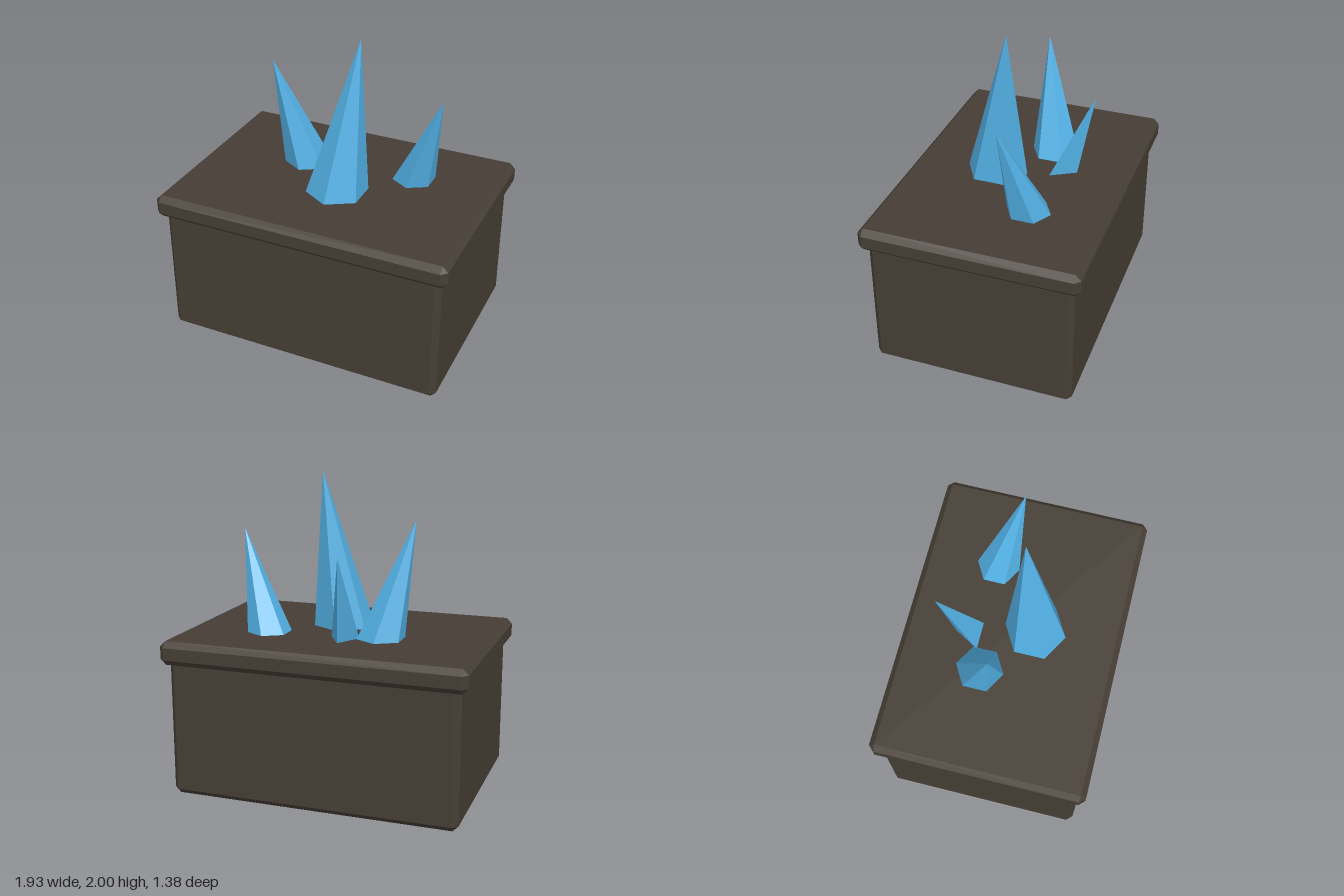
import * as THREE from 'three';
import { ConvexGeometry } from 'three/addons/geometries/ConvexGeometry.js';

const stone = new THREE.MeshStandardMaterial({ color: 0x463e35 });
stone.name = 'darkStone';
const crystal = new THREE.MeshStandardMaterial({ color: 0x52b0e4 });
crystal.name = 'blueCrystal';

// Box with every edge cut at 45 degrees, spanning y0 to y1
function chamferedBox(name, halfX, halfZ, y0, y1, cut) {
  const halfY = (y1 - y0) / 2;
  const points = [];
  for (const sx of [-1, 1]) for (const sy of [-1, 1]) for (const sz of [-1, 1]) {
    for (let face = 0; face < 3; face++) {
      points.push(new THREE.Vector3(
        sx * (halfX - (face === 0 ? 0 : cut)),
        sy * (halfY - (face === 1 ? 0 : cut)),
        sz * (halfZ - (face === 2 ? 0 : cut))
      ));
    }
  }
  const mesh = new THREE.Mesh(new ConvexGeometry(points), stone);
  mesh.position.y = (y0 + y1) / 2;
  mesh.name = name;
  return mesh;
}

// Faceted cone sheared so its point leans over to the tip position
function spike(name, [cx, cz], radius, sides, [tx, ty, tz], turn = 0) {
  const baseY = 1;
  const height = ty - baseY;
  let geometry = new THREE.ConeGeometry(radius, height, sides, 1, false, turn);
  geometry.translate(0, height / 2, 0);
  const p = geometry.attributes.position;
  for (let i = 0; i < p.count; i++) {
    const t = p.getY(i) / height;
    p.setX(i, p.getX(i) + (tx - cx) * t);
    p.setZ(i, p.getZ(i) + (tz - cz) * t);
  }
  geometry = geometry.toNonIndexed();
  geometry.computeVertexNormals();
  const mesh = new THREE.Mesh(geometry, crystal);
  mesh.position.set(cx, baseY, cz);
  mesh.name = name;
  return mesh;
}

export function createModel() {
  const model = new THREE.Group();
  model.name = 'crystalPedestal';
  model.add(
    chamferedBox('pedestalBody', 0.92, 0.645, 0, 0.92, 0.036),
    chamferedBox('pedestalLid', 0.965, 0.69, 0.85, 1, 0.036),
    spike('tallSpike', [0.04, 0.137], 0.198, 6, [0.15, 2, 0.035]),
    spike('rightSpike', [-0.295, -0.145], 0.155, 6, [-0.48, 1.73, -0.03]),
    spike('leftSpike', [0.425, -0.205], 0.14, 6, [0.64, 1.635, -0.08]),
    // Small three-sided shard with one corner to the back
    spike('backSpike', [-0.08, -0.25], 0.105, 3, [-0.117, 1.54, -0.45], Math.PI)
  );
  return model;
}
